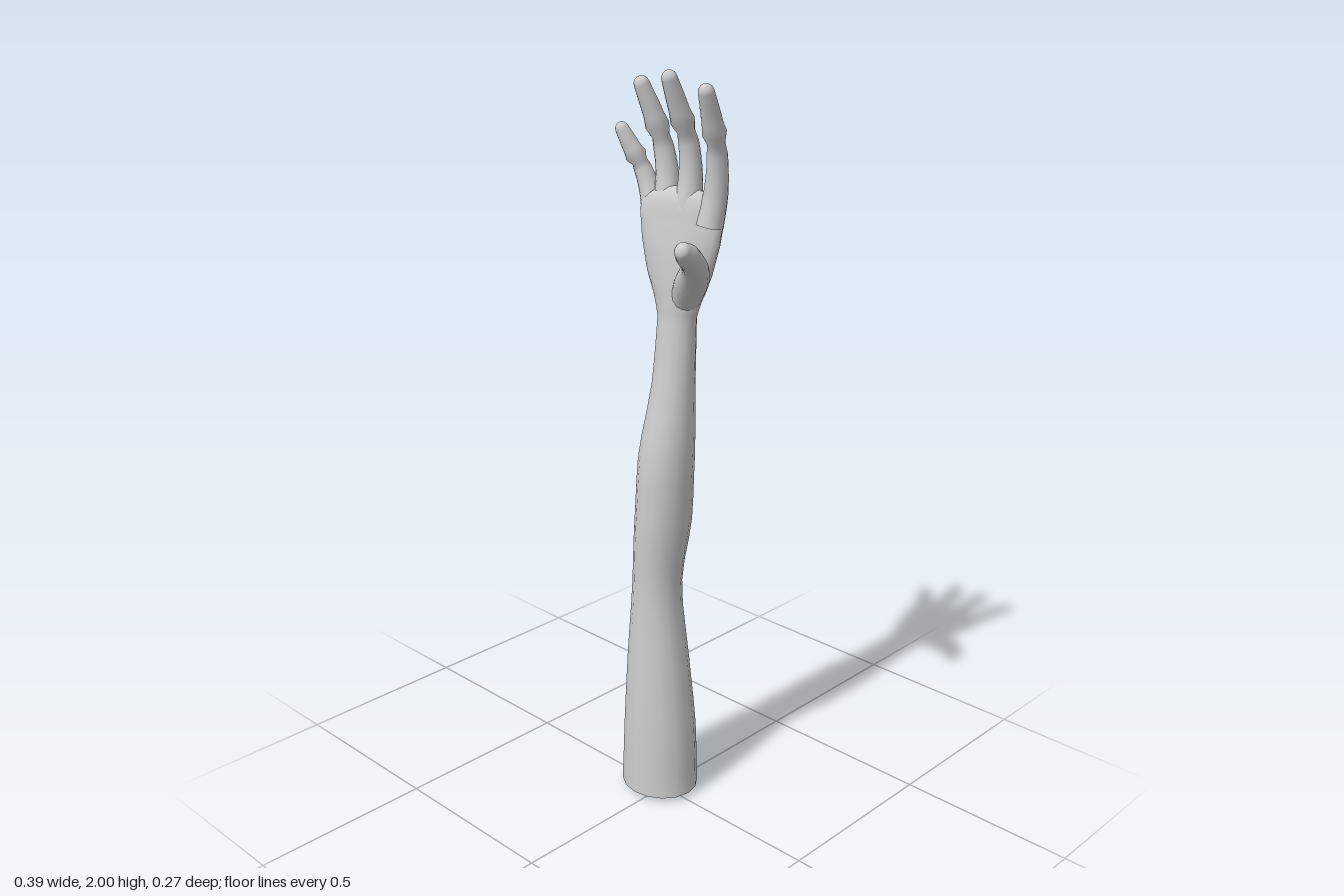
import * as THREE from 'three';

const SIDES = 16;
const material = new THREE.MeshStandardMaterial({ color: 0xcccccc });

// Skins smooth rings along a path, ending in a rounded tip.
// Rows: [x, y, z, half width, half depth, twist (z drop across the width)]
function loft(name, rows, { steps, dome, upright = false, base = false }) {
  const path = new THREE.CatmullRomCurve3(rows.map(r => new THREE.Vector3(r[0], r[1], r[2])));
  const size = new THREE.CatmullRomCurve3(rows.map(r => new THREE.Vector3(r[3], r[4], r[5] || 0)));
  const positions = [], index = [];
  let rings = 0;

  const addRing = (t, lift, scale) => {
    const centre = path.getPoint(t), s = size.getPoint(t);
    const along = upright ? new THREE.Vector3(0, 1, 0) : path.getTangent(t);
    const u = new THREE.Vector3(1, 0, 0).addScaledVector(along, -along.x).normalize();
    const v = new THREE.Vector3().crossVectors(along, u);
    centre.addScaledVector(along, lift);
    for (let j = 0; j < SIDES; j++) {
      const a = j / SIDES * Math.PI * 2;
      const c = Math.cos(a) * s.x * scale, d = Math.sin(a) * s.y * scale;
      const p = centre.clone().addScaledVector(u, c).addScaledVector(v, d);
      positions.push(p.x, p.y, p.z - c * s.z);
    }
    rings++;
  };

  const count = (rows.length - 1) * steps;
  for (let i = 0; i <= count; i++) addRing(i / count, 0, 1);
  for (let k = 1; k <= 4; k++) {
    const a = k / 4 * Math.PI / 2;
    addRing(1, dome * Math.sin(a), Math.max(Math.cos(a), 0.02));
  }
  for (let i = 0; i < rings - 1; i++) {
    for (let j = 0; j < SIDES; j++) {
      const k = (j + 1) % SIDES;
      const a = i * SIDES + j, b = i * SIDES + k;
      index.push(a, b, a + SIDES, b, b + SIDES, a + SIDES);
    }
  }
  // close the tip
  const last = (rings - 1) * SIDES;
  for (let j = 1; j < SIDES - 1; j++) index.push(last, last + j, last + j + 1);
  // cut end, with its own vertices for a sharp rim
  if (base) {
    const start = positions.length / 3;
    positions.push(...positions.slice(0, SIDES * 3), rows[0][0], 0, rows[0][2]);
    for (let j = 0; j < SIDES; j++) index.push(start + SIDES, start + (j + 1) % SIDES, start + j);
  }

  const geometry = new THREE.BufferGeometry();
  geometry.setAttribute('position', new THREE.Float32BufferAttribute(positions, 3));
  geometry.setIndex(index);
  geometry.computeVertexNormals();
  const mesh = new THREE.Mesh(geometry, material);
  mesh.name = name;
  return mesh;
}

export function createModel() {
  const group = new THREE.Group();
  group.name = 'arm';

  // upper arm, elbow, forearm, wrist and palm
  group.add(loft('armAndPalm', [
    [-0.024, 0.015, -0.010, 0.112, 0.101],
    [-0.025, 0.20, -0.012, 0.104, 0.097],
    [-0.031, 0.42, -0.011, 0.087, 0.082],
    [-0.035, 0.64, -0.012, 0.066, 0.070],
    [-0.024, 0.82, -0.024, 0.072, 0.083],
    [-0.018, 1.00, -0.030, 0.072, 0.079],
    [-0.013, 1.20, -0.051, 0.058, 0.056],
    [-0.014, 1.36, -0.064, 0.055, 0.047],
    [-0.013, 1.41, -0.066, 0.064, 0.046, 0.05],
    [-0.012, 1.49, -0.070, 0.092, 0.046, 0.15],
    [-0.012, 1.57, -0.075, 0.110, 0.042, 0.2],
    [-0.015, 1.645, -0.083, 0.122, 0.037, 0.2],
  ], { steps: 3, dome: 0.065, upright: true, base: true }));

  // four fingers, curling forward towards the tips
  const fingers = {
    littleFinger: [[-0.100, 1.61, -0.070], [-0.122, 1.68, -0.078], [-0.143, 1.74, -0.072],
      [-0.160, 1.79, -0.052], [-0.177, 1.838, -0.034]],
    ringFinger: [[-0.065, 1.64, -0.080], [-0.073, 1.72, -0.090], [-0.082, 1.80, -0.085],
      [-0.090, 1.88, -0.058], [-0.102, 1.957, -0.028]],
    middleFinger: [[0.000, 1.65, -0.085], [0.001, 1.73, -0.096], [0.001, 1.82, -0.088],
      [0.002, 1.90, -0.053], [0.004, 1.98, -0.016]],
    indexFinger: [[0.068, 1.62, -0.094], [0.080, 1.70, -0.103], [0.093, 1.80, -0.092],
      [0.105, 1.88, -0.060], [0.117, 1.957, -0.024]],
  };
  for (const [name, points] of Object.entries(fingers)) {
    const k = name === 'littleFinger' ? 0.9 : 1;
    const radii = [0.036, 0.031, 0.026, 0.026, 0.020];
    group.add(loft(name, points.map((p, i) => [...p, radii[i] * k, radii[i] * k]),
      { steps: 3, dome: 0.02 }));
  }

  // thumb, reaching out and forward from the heel of the palm
  group.add(loft('thumb', [
    [0.015, 1.43, -0.066, 0.040, 0.040],
    [0.060, 1.485, -0.040, 0.043, 0.044],
    [0.108, 1.527, 0.000, 0.035, 0.037],
    [0.143, 1.562, 0.045, 0.029, 0.031],
    [0.163, 1.590, 0.086, 0.029, 0.030],
    [0.172, 1.606, 0.112, 0.021, 0.023],
  ], { steps: 3, dome: 0.02 }));

  return group;
}
